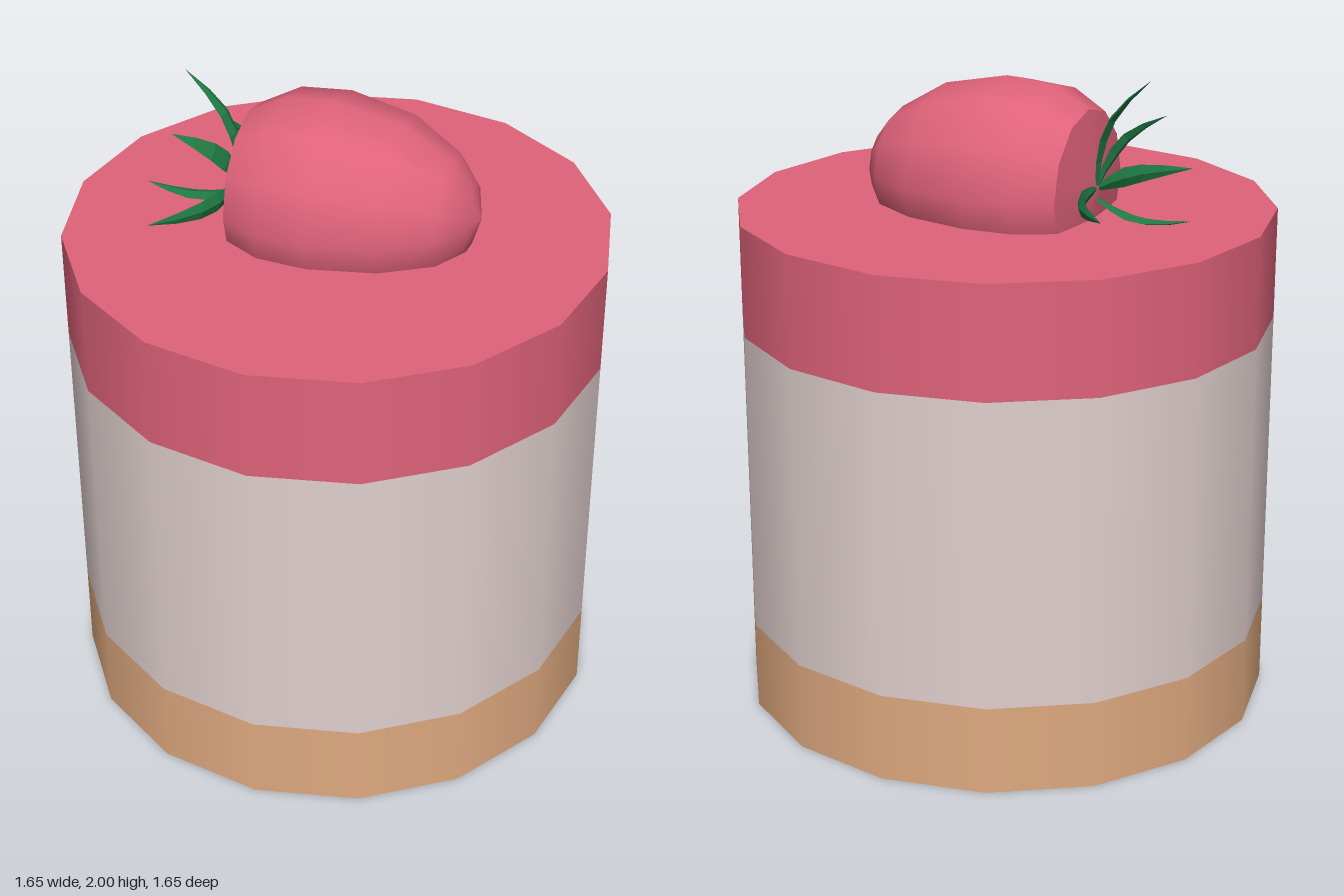
import * as THREE from 'three';

const mat = (name, color) => {
  const m = new THREE.MeshStandardMaterial({ color });
  m.name = name;
  return m;
};

// Tapered blade with a diamond cross-section, swept along a curve.
function leafGeometry(points, side, width, thick) {
  const curve = new THREE.CatmullRomCurve3(points);
  const profile = [0.35, 0.7, 1, 0.9, 0.55, 0.02];
  const last = profile.length - 1;
  const rings = profile.map((k, i) => {
    const p = curve.getPoint(i / last);
    const normal = curve.getTangent(i / last).cross(side).normalize();
    return [[side, width], [normal, thick], [side, -width], [normal, -thick]]
      .map(([dir, size]) => p.clone().addScaledVector(dir, size * k));
  });
  const pos = [];
  const tri = (...v) => v.forEach((q) => pos.push(q.x, q.y, q.z));
  for (let i = 0; i < last; i++) {
    for (let j = 0; j < 4; j++) {
      const n = (j + 1) % 4;
      const [a, b, c, d] = [rings[i][j], rings[i][n], rings[i + 1][n], rings[i + 1][j]];
      tri(a, b, c);
      tri(a, c, d);
    }
  }
  const g = new THREE.BufferGeometry();
  g.setAttribute('position', new THREE.Float32BufferAttribute(pos, 3));
  g.computeVertexNormals();
  return g;
}

export function createModel() {
  const model = new THREE.Group();
  model.name = 'strawberryCake';
  const pink = mat('strawberry pink', 0xe0637a);
  const cream = mat('cream', 0xe0d0ce);
  const tan = mat('biscuit tan', 0xe0aa80);
  const green = mat('leaf green', 0x1f7a42);

  const add = (parent, name, geometry, material) => {
    const mesh = new THREE.Mesh(geometry, material);
    mesh.name = name;
    parent.add(mesh);
    return mesh;
  };

  // Cake layers: name, bottom, top, material, open ended
  [
    ['biscuitBase', 0, 0.275, tan, false],
    ['creamFilling', 0.275, 1.225, cream, true],
    ['jellyTopping', 1.225, 1.57, pink, false],
  ].forEach(([name, y0, y1, material, open]) => {
    const g = new THREE.CylinderGeometry(0.825, 0.825, y1 - y0, 16, 1, open);
    add(model, name, g, material).position.y = (y0 + y1) / 2;
  });

  // Strawberry lying on its side, tip towards +x, half sunk in the topping
  const berry = new THREE.Group();
  berry.name = 'strawberry';
  berry.position.set(0, 1.66, -0.023);
  model.add(berry);
  const lathe = (profile) => new THREE.LatheGeometry(
    profile.map(([x, r]) => new THREE.Vector2(r, x)), 12).rotateZ(-Math.PI / 2);
  add(berry, 'berryBody', lathe([[-0.285, 0.237], [-0.17, 0.3], [-0.015, 0.312],
    [0.19, 0.27], [0.34, 0.182], [0.405, 0.103], [0.436, 0]]), pink);
  add(berry, 'berryShoulder', lathe([[-0.315, 0], [-0.315, 0.04], [-0.285, 0.237]]), pink);

  // Leaves: angle from straight up towards +z, then [x, distance from axis] along the blade
  const longLeaf = [[-0.313, 0.01], [-0.328, 0.13], [-0.375, 0.235], [-0.48, 0.34]];
  const leaves = [
    [0, longLeaf],
    [Math.PI / 2, longLeaf],
    [-Math.PI / 2, longLeaf],
    [0.63, [[-0.313, 0.01], [-0.33, 0.1], [-0.375, 0.185], [-0.47, 0.253]]],
    [Math.PI, [[-0.313, 0.03], [-0.4, 0.072], [-0.5, 0.083], [-0.62, 0.063]]],
  ];
  const crown = new THREE.Group();
  crown.name = 'leafCrown';
  berry.add(crown);
  leaves.forEach(([angle, path], i) => {
    const c = Math.cos(angle), s = Math.sin(angle);
    const points = path.map(([x, r]) => new THREE.Vector3(x, r * c, r * s));
    add(crown, `leaf${i + 1}`, leafGeometry(points, new THREE.Vector3(0, -s, c), 0.031, 0.011), green);
  });

  return model;
}
